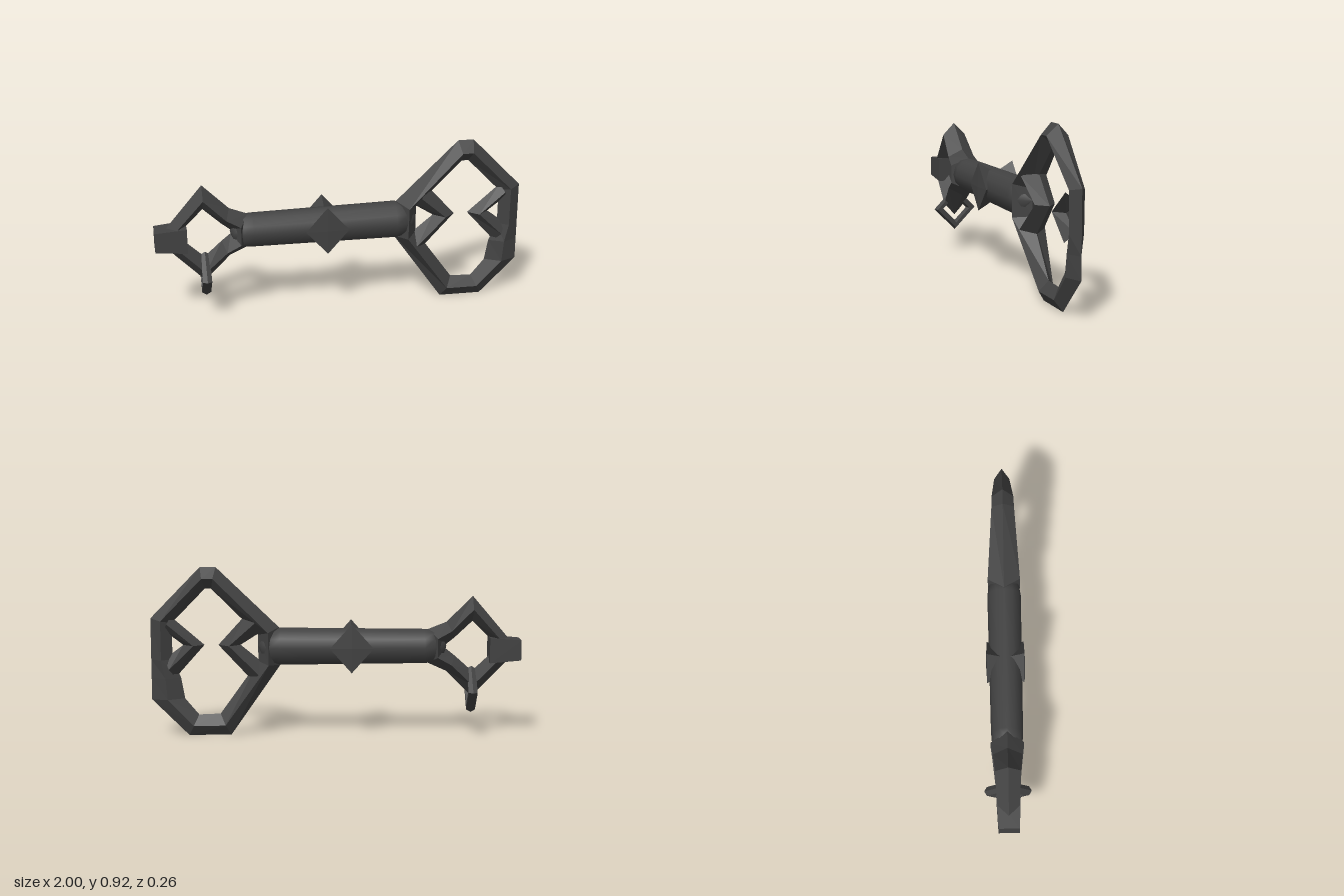
import * as THREE from 'three';

// Bar with a diamond cross-section. Each row: outer x, y, inner x, y, half depth.
// Rows run clockwise as seen from the front.
function bevelBar(rows, closed) {
  const pos = [], index = [];
  for (const [ox, oy, ix, iy, d] of rows) {
    const mx = (ox + ix) / 2, my = (oy + iy) / 2;
    pos.push(ox, oy, 0, mx, my, d, ix, iy, 0, mx, my, -d);
  }
  const n = rows.length;
  for (let i = 0; i < (closed ? n : n - 1); i++) {
    const p = i * 4, q = ((i + 1) % n) * 4;
    for (let k = 0; k < 4; k++) {
      const l = (k + 1) % 4;
      index.push(p + k, p + l, q + k, p + l, q + l, q + k);
    }
  }
  const g = new THREE.BufferGeometry();
  g.setAttribute('position', new THREE.Float32BufferAttribute(pos, 3));
  g.setIndex(index);
  const flat = g.toNonIndexed();
  flat.computeVertexNormals();
  return flat;
}

export function createModel() {
  const group = new THREE.Group();
  const iron = new THREE.MeshStandardMaterial({ color: 0x424242 });
  iron.name = 'dark iron';
  const add = (name, geometry) => {
    const mesh = new THREE.Mesh(geometry, iron);
    mesh.name = name;
    group.add(mesh);
    return mesh;
  };

  // Shaft, tapering into both frames
  const profile = [[0, -0.6], [0.05, -0.585], [0.09, -0.53], [0.094, -0.48], [0.102, 0.3],
    [0.092, 0.36], [0.05, 0.4], [0, 0.42]].map(([r, y]) => new THREE.Vector2(r, y));
  const shaft = new THREE.LatheGeometry(profile, 12);
  shaft.scale(1, 1, 0.9);
  shaft.rotateZ(-Math.PI / 2);
  shaft.translate(0, 0.492, 0);
  add('shaft', shaft);

  // Large frame
  add('largeFrame', bevelBar([
    [0.30, 0.39, 0.42, 0.41, 0.088],
    [0.307, 0.596, 0.42, 0.555, 0.088],
    [0.645, 0.922, 0.67, 0.805, 0.06],
    [0.73, 0.922, 0.705, 0.805, 0.058],
    [1.0, 0.645, 0.885, 0.62, 0.042],
    [1.0, 0.42, 0.885, 0.42, 0.04],
    [1.0, 0.32, 0.84, 0.32, 0.04],
    [1.0, 0.20, 0.82, 0.205, 0.04],
    [0.80, 0, 0.745, 0.115, 0.038],
    [0.57, 0.003, 0.628, 0.12, 0.042],
  ], true));

  // Hooks pointing into the large frame
  add('leftwardHook', bevelBar([
    [0.87, 0.32, 0.93, 0.42, 0.045],
    [0.71, 0.50, 0.825, 0.50, 0.05],
    [0.89, 0.655, 0.93, 0.58, 0.045],
  ], false));
  add('rightwardHook', bevelBar([
    [0.48, 0.67, 0.39, 0.58, 0.07],
    [0.635, 0.50, 0.515, 0.50, 0.055],
    [0.45, 0.30, 0.38, 0.39, 0.07],
  ], false));

  // Small frame
  add('smallFrame', bevelBar([
    [-0.50, 0.40, -0.595, 0.48, 0.088],
    [-0.60, 0.355, -0.645, 0.44, 0.078],
    [-0.74, 0.215, -0.74, 0.355, 0.064],
    [-0.94, 0.42, -0.83, 0.44, 0.058],
    [-0.94, 0.53, -0.83, 0.54, 0.058],
    [-0.74, 0.765, -0.74, 0.63, 0.066],
    [-0.60, 0.625, -0.645, 0.54, 0.078],
    [-0.50, 0.585, -0.595, 0.50, 0.088],
  ], true));

  // End block, flaring slightly inwards
  const block = new THREE.BoxGeometry(0.17, 0.11, 0.11);
  const bp = block.attributes.position;
  for (let i = 0; i < bp.count; i++) {
    if (bp.getX(i) > 0) bp.setXYZ(i, bp.getX(i), bp.getY(i) * 1.25, bp.getZ(i) * 1.15);
  }
  block.computeVertexNormals();
  add('endBlock', block).position.set(-0.915, 0.475, 0);

  // Diamond studs, narrowing towards the shaft, with a shallow point
  for (const side of [1, -1]) {
    const parts = [[0.1, 0.125, 0.1, 0.05], [0, 0.125, 0.006, 0.103]];
    parts.forEach(([top, bottom, height, z], i) => {
      const g = i === 0
        ? new THREE.CylinderGeometry(bottom, 0.07, height, 4, 1).toNonIndexed()
        : new THREE.CylinderGeometry(top, bottom, height, 4, 1).toNonIndexed();
      g.computeVertexNormals();
      g.rotateX(side * Math.PI / 2);
      g.scale(0.94, 1.06, 1);
      add(side > 0 ? 'frontStud' : 'backStud', g).position.set(-0.085, 0.492, side * z);
    });
  }

  // Small square link through the small frame
  const link = new THREE.TorusGeometry(0.1, 0.028, 6, 4).toNonIndexed();
  link.computeVertexNormals();
  link.rotateY(Math.PI / 2);
  add('link', link).position.set(-0.737, 0.254, 0);

  return group;
}
